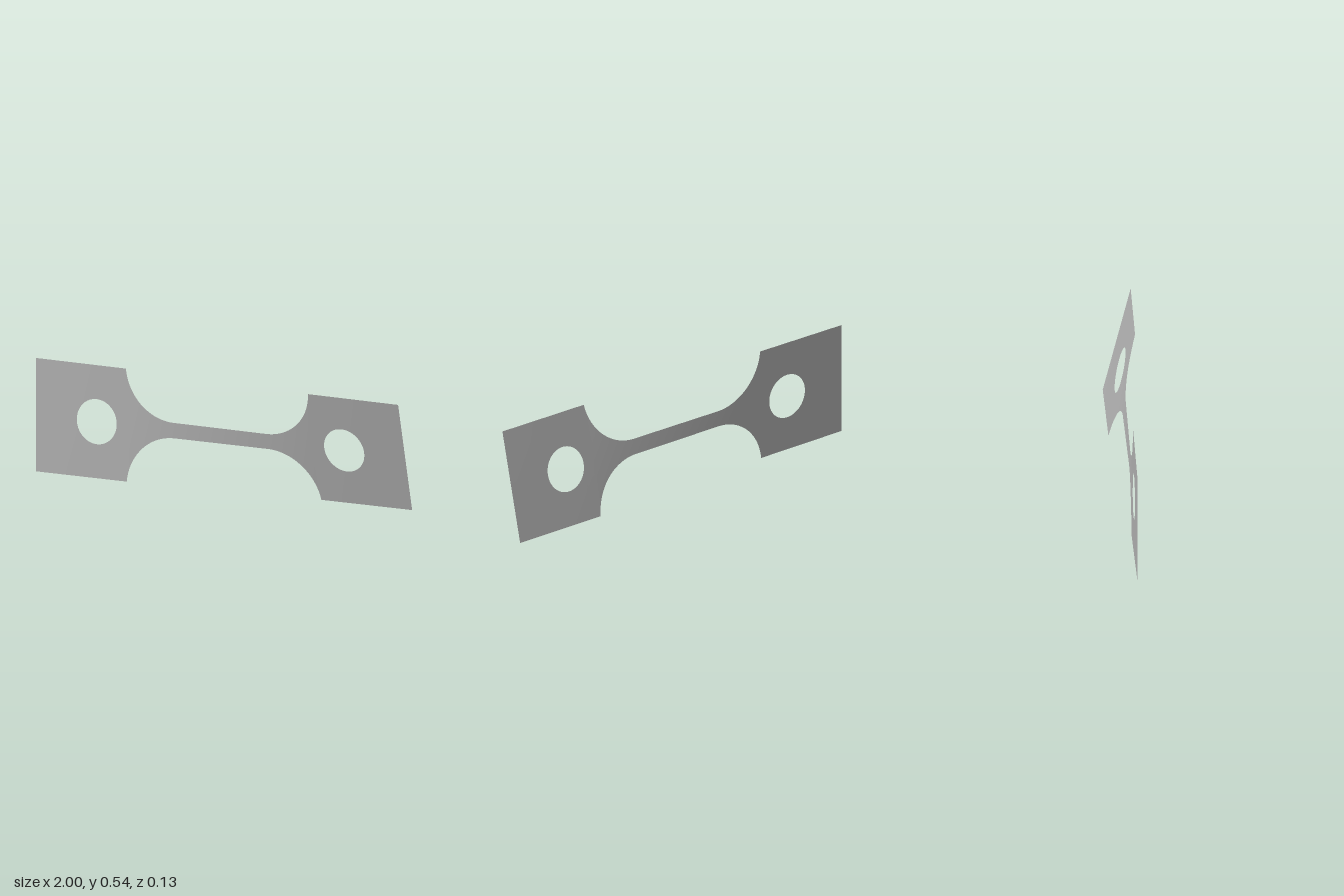
import * as THREE from 'three';
import { mergeGeometries, mergeVertices } from 'three/addons/utils/BufferGeometryUtils.js';

const HALF = 0.271;        // half height of the grips
const NECK = 0.0375;       // half height of the neck
const SHOULDER = 0.51;     // where the grip ends and the fillet begins
const FILLET = 0.26;       // fillet radius
const HOLE_X = 0.67, HOLE_R = 0.108;

// Twist of the sheet about the x axis, in degrees at key stations
const TWIST = [[-1, 0], [-0.5, 0.9], [0.5, 13.3], [1, 14]];
function twistAt(x) {
  for (let i = 1; i < TWIST.length; i++) {
    const [x0, a0] = TWIST[i - 1], [x1, a1] = TWIST[i];
    if (x <= x1 || i === TWIST.length - 1) {
      return THREE.MathUtils.degToRad(a0 + (a1 - a0) * (x - x0) / (x1 - x0));
    }
  }
}

// Ruled strip from columns [x, low, high], each column turned by the twist
function strip(columns) {
  const rows = 6, pos = [], index = [];
  columns.forEach(([x, lo, hi], i) => {
    const a = twistAt(x);
    for (let j = 0; j <= rows; j++) {
      const v = lo + (hi - lo) * j / rows;
      pos.push(x, HALF + v * Math.cos(a), v * Math.sin(a));
      if (i > 0 && j < rows) {
        const q = i * (rows + 1) + j, p = q - rows - 1;
        index.push(p, q, q + 1, p, q + 1, p + 1);
      }
    }
  });
  const g = new THREE.BufferGeometry();
  g.setAttribute('position', new THREE.Float32BufferAttribute(pos, 3));
  g.setIndex(index);
  return g;
}

const range = (n, f) => Array.from({ length: n + 1 }, (_, i) => f(i / n));

function join(strips) {
  const g = mergeVertices(mergeGeometries(strips), 1e-5);
  g.computeVertexNormals();
  return g;
}

// Square grip with a round hole; side is -1 or 1
function gripGeometry(side) {
  const plain = (a, b) => range(6, t => [a + (b - a) * t, -HALF, HALF]);
  const c = side * HOLE_X;
  const around = range(48, t => [c - HOLE_R * Math.cos(Math.PI * t), HOLE_R * Math.sin(Math.PI * t)]);
  const ends = [side * SHOULDER, side].sort((a, b) => a - b);
  return join([
    plain(ends[0], c - HOLE_R),
    around.map(([x, h]) => [x, h, HALF]),
    around.map(([x, h]) => [x, -HALF, -h]),
    plain(c + HOLE_R, ends[1]),
  ].map(strip));
}

// Narrow neck flaring through a circular fillet at each end
function neckGeometry() {
  const start = Math.asin((NECK + FILLET - HALF) / FILLET);
  const inner = SHOULDER - FILLET * Math.cos(start);
  const flare = range(32, t => {
    const a = start + (Math.PI / 2 - start) * t;
    const h = NECK + FILLET * (1 - Math.sin(a));
    return [inner + FILLET * Math.cos(a), -h, h];
  });
  const left = flare.map(([x, lo, hi]) => [-x, lo, hi]);
  const middle = range(24, t => [inner * (2 * t - 1), -NECK, NECK]);
  return join([left, middle, flare.slice().reverse()].map(strip));
}

export function createModel() {
  const steel = new THREE.MeshStandardMaterial({ color: 0xb0b0b0, side: THREE.DoubleSide });
  steel.name = 'grey steel';

  const model = new THREE.Group();
  model.name = 'twistedTestStrip';
  const parts = {
    rightGrip: gripGeometry(-1),
    neck: neckGeometry(),
    leftGrip: gripGeometry(1),
  };
  for (const [name, geometry] of Object.entries(parts)) {
    const mesh = new THREE.Mesh(geometry, steel);
    mesh.name = name;
    model.add(mesh);
  }
  return model;
}
